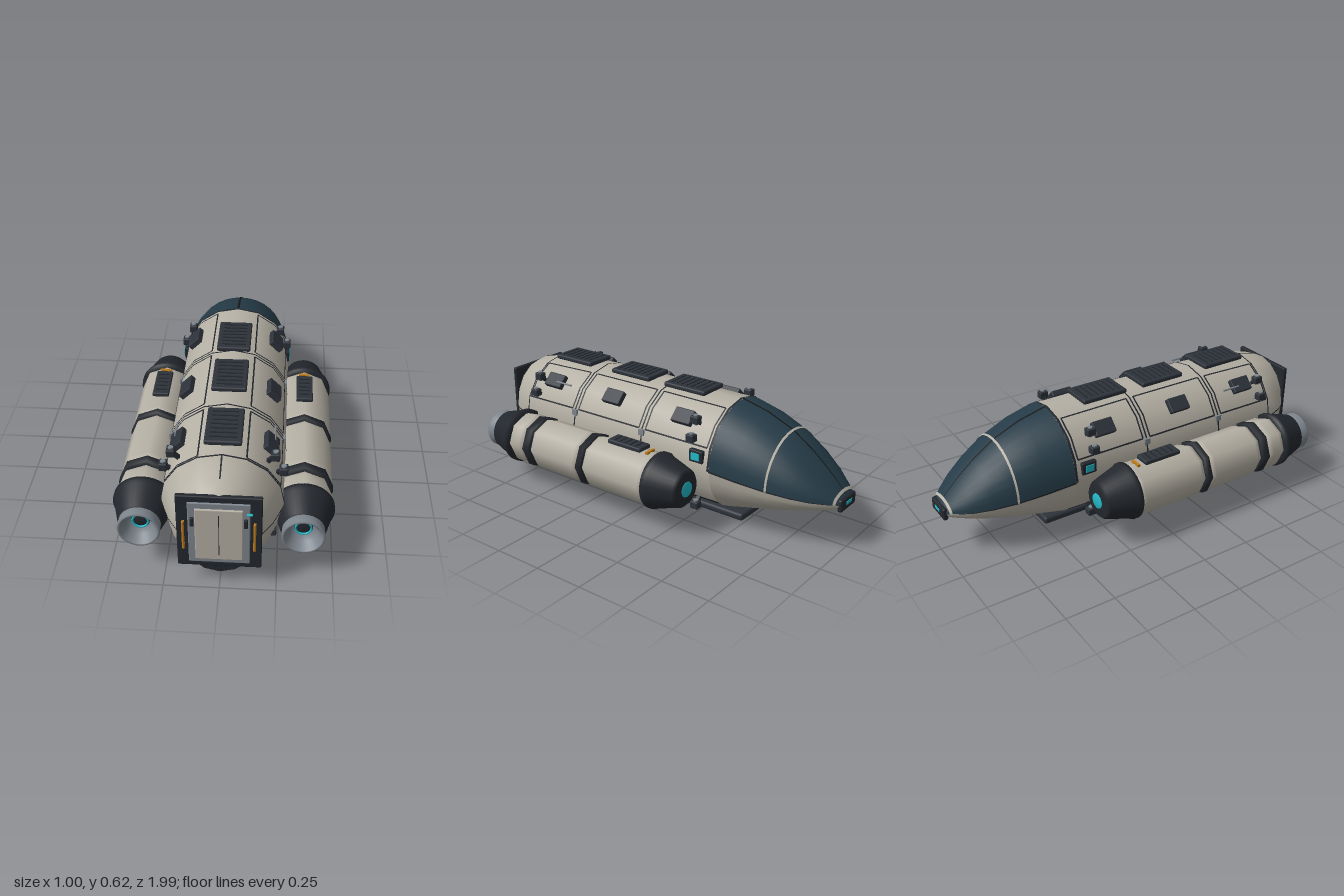
import * as THREE from 'three';
import { RoundedBoxGeometry } from 'three/addons/geometries/RoundedBoxGeometry.js';

const mat = (color) => new THREE.MeshStandardMaterial({ color, side: THREE.DoubleSide });
const M = {
  cream: mat(0xb5b0a4), dark: mat(0x23272d), black: mat(0x15181b), grey: mat(0x7d858d),
  glass: mat(0x253b47), teal: mat(0x22b8c6), orange: mat(0xc07c1e), hatch: mat(0x2d323a),
};
const DEG = Math.PI / 180;

// Hull sections: [z, half width, top y, belt y, bottom y]
const NOSE = [
  [-0.985, 0.065, 0.25, 0.235, 0.2], [-0.94, 0.11, 0.298, 0.243, 0.187], [-0.88, 0.155, 0.357, 0.252, 0.17],
  [-0.8, 0.194, 0.425, 0.263, 0.148], [-0.69, 0.23, 0.5, 0.278, 0.118], [-0.55, 0.258, 0.558, 0.297, 0.082],
  [-0.41, 0.275, 0.592, 0.315, 0.045]];
const BODY = [
  [-0.41, 0.275, 0.592, 0.315, 0.045], [0, 0.277, 0.595, 0.315, 0.038], [0.44, 0.277, 0.593, 0.315, 0.036],
  [0.78, 0.272, 0.58, 0.313, 0.04], [0.9, 0.222, 0.55, 0.31, 0.05], [0.965, 0.175, 0.515, 0.305, 0.07]];

// Section of the hull at any z
function sectionAt(list, z) {
  let i = 0;
  while (i < list.length - 2 && z > list[i + 1][0]) i++;
  const t = (z - list[i][0]) / (list[i + 1][0] - list[i][0]);
  return list[i].map((v, k) => v + (list[i + 1][k] - v) * t);
}

// Skin through the sections between two angles (0 = left side, 90 = top)
function skin(sections, a0, a1, steps, grow = 0) {
  const pos = [], idx = [];
  sections.forEach(([z, rx, top, belt, bottom]) => {
    for (let i = 0; i <= steps; i++) {
      const a = (a0 + (a1 - a0) * i / steps) * DEG, s = Math.sin(a);
      const ry = (s > 0 ? top - belt : belt - bottom) + grow;
      pos.push((rx + grow) * Math.cos(a), belt + ry * s, z);
    }
  });
  const n = steps + 1;
  for (let j = 0; j < sections.length - 1; j++) for (let i = 0; i < steps; i++) {
    const p = j * n + i;
    idx.push(p, p + 1, p + n + 1, p, p + n + 1, p + n);
  }
  const g = new THREE.BufferGeometry();
  g.setAttribute('position', new THREE.Float32BufferAttribute(pos, 3));
  g.setIndex(idx);
  g.computeVertexNormals();
  return g;
}

function add(parent, name, geo, m, x = 0, y = 0, z = 0) {
  const mesh = new THREE.Mesh(geo, m);
  mesh.name = name;
  mesh.position.set(x, y, z);
  parent.add(mesh);
  return mesh;
}
const box = (w, h, d) => new THREE.BoxGeometry(w, h, d);
const round = (w, h, d, r = 0.008) => new RoundedBoxGeometry(w, h, d, 2, r);
const lathe = (pts, n) =>
  new THREE.LatheGeometry(pts.map(([r, z]) => new THREE.Vector2(r, z)), n).rotateX(Math.PI / 2);

// Thin seams lying on the hull
function crossSeam(g, name, list, z, a0, a1, steps, m = M.dark, w = 0.004, grow = 0.003) {
  add(g, name, skin([sectionAt(list, z - w), sectionAt(list, z + w)], a0, a1, steps, grow), m);
}
function longSeam(g, name, list, z0, z1, a, m = M.dark, w = 0.8, grow = 0.003) {
  const s = [sectionAt(list, z0), ...list.filter((r) => r[0] > z0 && r[0] < z1), sectionAt(list, z1)];
  add(g, name, skin(s, a - w, a + w, 2, grow), m);
}

function hull(g) {
  add(g, 'hullShell', skin(BODY, -45, 225, 12), M.cream);
  add(g, 'belly', skin(BODY, 225, 315, 4, 0.002), M.black);
  const end = BODY[BODY.length - 1];
  add(g, 'hullEnd', skin([end, [0.967, 0, end[3], end[3], end[3]]], 0, 360, 16), M.dark);
  add(g, 'noseLower', skin(NOSE, -180, 0, 16), M.cream);
  add(g, 'windshield', skin(NOSE, 0, 180, 16, 0.002), M.glass);
  for (const z of [0, 0.44, 0.78]) crossSeam(g, 'hullRing', BODY, z, -45, 225, 12);
  crossSeam(g, 'windshieldBase', BODY, -0.404, 0, 180, 8, M.dark, 0.006, 0.005);
  // Windshield trim
  crossSeam(g, 'windshieldHoop', NOSE, -0.69, 0, 180, 16, M.cream, 0.005, 0.007);
  crossSeam(g, 'tipHoop', NOSE, -0.965, 0, 180, 16, M.cream, 0.005, 0.007);
  longSeam(g, 'windshieldSpine', NOSE, -0.98, -0.41, 90, M.black, 1.3, 0.005);
  for (const a of [0, 180]) {
    longSeam(g, 'windshieldSill', NOSE, -0.98, -0.41, a, M.dark, 1, 0.005);
    longSeam(g, 'sideSeam', BODY, 0.78, 0.96, a);
  }
  longSeam(g, 'roofSeam', BODY, 0.78, 0.9, 90);
  // Nose tip with its light
  add(g, 'noseTip', round(0.14, 0.062, 0.025, 0.01), M.dark, 0, 0.228, -0.982);
  add(g, 'noseLight', box(0.05, 0.016, 0.006), M.teal, 0, 0.232, -0.994);
  add(g, 'skid', round(0.2, 0.038, 1.14, 0.014), M.hatch, 0, 0.019, 0.08);
  // Roof hatches with ribs
  for (const z of [-0.12, 0.22, 0.61]) {
    add(g, 'roofHatch', round(0.165, 0.024, 0.245), M.hatch, 0, 0.602, z);
    for (let i = -3; i <= 3; i++) add(g, 'hatchRib', box(0.12, 0.004, 0.006), M.dark, 0, 0.615, z + i * 0.03);
  }
}

// Thruster block with nozzles and a short arm to the hull
function thruster(g, s, x, y, z) {
  const t = new THREE.Group();
  t.name = 'thruster';
  t.position.set(s * x, y, z);
  add(t, 'thrusterBlock', round(0.038, 0.038, 0.045, 0.006), M.hatch);
  for (const d of [-1, 1]) add(t, 'thrusterNozzle', new THREE.CylinderGeometry(0.012, 0.012, 0.008, 10), M.grey, 0, d * 0.021, 0);
  const dy = 0.315 - y, len = Math.hypot(x, dy), ux = -s * x / len, uy = dy / len;
  add(t, 'thrusterArm', box(0.06, 0.016, 0.02), M.dark, ux * 0.035, uy * 0.035, 0).rotation.z = Math.atan2(uy, ux);
  g.add(t);
}

function sideDetails(g, s) {
  const ang = (a) => (s > 0 ? a : 180 - a);
  // Outlined wall panels
  for (const [z0, z1] of [[-0.385, -0.02], [0.02, 0.42], [0.46, 0.77]]) {
    for (const a of [22.5, 67.5]) longSeam(g, 'panelEdge', BODY, z0, z1, ang(a));
    for (const z of [z0, z1]) crossSeam(g, 'panelEdge', BODY, z, Math.min(ang(22.5), ang(67.5)), Math.max(ang(22.5), ang(67.5)), 2);
  }
  longSeam(g, 'bellySeam', BODY, -0.41, 0.95, ang(-44));
  // Tilted wall units
  for (const z of [-0.215, 0.22, 0.62]) add(g, 'wallUnit', round(0.075, 0.03, 0.11, 0.005), M.hatch, s * 0.208, 0.522, z).rotation.z = -s * 45 * DEG;
  add(g, 'antenna', new THREE.CylinderGeometry(0.005, 0.005, 0.1, 8).rotateX(Math.PI / 2), M.grey, s * 0.222, 0.525, 0.55);
  for (const z of [0.715, -0.3]) {
    thruster(g, s, 0.228, 0.535, z);
    thruster(g, s, 0.265, 0.455, z);
    thruster(g, s, 0.224, 0.09, z);
  }
  for (const z of [0, 0.44]) add(g, 'hullClamp', box(0.03, 0.03, 0.03), M.grey, s * 0.255, 0.405, z);
  add(g, 'sideScreenFrame', round(0.03, 0.062, 0.078, 0.005), M.dark, s * 0.265, 0.373, -0.335);
  add(g, 'sideScreen', box(0.006, 0.036, 0.045), M.teal, s * 0.281, 0.373, -0.335);
}

function pod(s) {
  const p = new THREE.Group();
  p.name = s > 0 ? 'leftPod' : 'rightPod';
  p.position.set(s * 0.36, 0.238, 0);
  add(p, 'podCore', lathe([[0.118, -0.2], [0.118, 0.73]], 8), M.dark);
  for (const [a, b] of [[-0.18, 0.205], [0.235, 0.56], [0.605, 0.715]])
    add(p, 'podTank', lathe([[0.116, a], [0.127, a + 0.012], [0.133, a + 0.03], [0.133, b - 0.03], [0.127, b - 0.012], [0.116, b]], 8), M.cream);
  for (const [z, w] of [[0.22, 0.015], [0.582, 0.02]])
    add(p, 'podBand', lathe([[0.115, z - w], [0.137, z - w], [0.137, z + w], [0.115, z + w]], 8), M.dark);
  add(p, 'podRearCap', lathe([[0, -0.345], [0.08, -0.345], [0.095, -0.33], [0.132, -0.205], [0.14, -0.195], [0.14, -0.175], [0.115, -0.172]], 32), M.dark);
  add(p, 'podRearLight', lathe([[0, -0.351], [0.036, -0.351], [0.04, -0.34]], 20), M.teal);
  add(p, 'podFrontCone', lathe([[0.115, 0.708], [0.141, 0.711], [0.141, 0.733], [0.133, 0.742], [0.1, 0.855], [0.085, 0.862]], 32), M.dark);
  add(p, 'nozzle', lathe([[0.085, 0.85], [0.094, 0.86], [0.096, 0.9], [0.092, 0.908], [0.084, 0.905], [0.062, 0.865], [0.045, 0.835], [0, 0.835]], 32), M.grey);
  add(p, 'nozzleCore', lathe([[0.042, 0.83], [0.042, 0.843], [0, 0.843]], 24), M.dark);
  add(p, 'nozzleGlow', new THREE.TorusGeometry(0.035, 0.005, 8, 28), M.teal, 0, 0, 0.846);
  // Service hatch and marker on top
  add(p, 'podHatch', round(0.082, 0.022, 0.2, 0.006), M.hatch, 0, 0.142, 0);
  for (let i = -2; i <= 2; i++) add(p, 'podHatchRib', box(0.055, 0.004, 0.006), M.dark, 0, 0.154, i * 0.032);
  add(p, 'podMarker', box(0.055, 0.012, 0.014), M.orange, 0, 0.134, -0.13);
  return p;
}

function door() {
  const d = new THREE.Group();
  d.name = 'door';
  add(d, 'doorFrame', round(0.365, 0.405, 0.022, 0.006), M.dark, 0, 0.313, 0.963);
  add(d, 'doorSurround', round(0.265, 0.345, 0.014, 0.005), M.grey, 0, 0.313, 0.974);
  add(d, 'doorPanel', round(0.205, 0.29, 0.014, 0.005), M.cream, 0, 0.311, 0.982);
  add(d, 'doorSeam', box(0.003, 0.23, 0.003), M.dark, 0, 0.311, 0.989);
  for (const s of [-1, 1]) {
    add(d, 'handRail', new THREE.CapsuleGeometry(0.006, 0.15, 4, 10), M.orange, s * 0.152, 0.31, 0.992);
    for (const y of [0.245, 0.375]) add(d, 'railMount', box(0.01, 0.01, 0.022), M.orange, s * 0.152, y, 0.98);
    add(d, 'doorHinge', round(0.016, 0.048, 0.014, 0.004), M.dark, s * 0.114, 0.382, 0.984);
  }
  add(d, 'doorLight', round(0.026, 0.01, 0.012, 0.004), M.teal, 0.13, 0.433, 0.982);
  return d;
}

export function createModel() {
  const g = new THREE.Group();
  g.name = 'shuttle';
  hull(g);
  for (const s of [-1, 1]) {
    sideDetails(g, s);
    g.add(pod(s));
  }
  g.add(door());
  return g;
}
